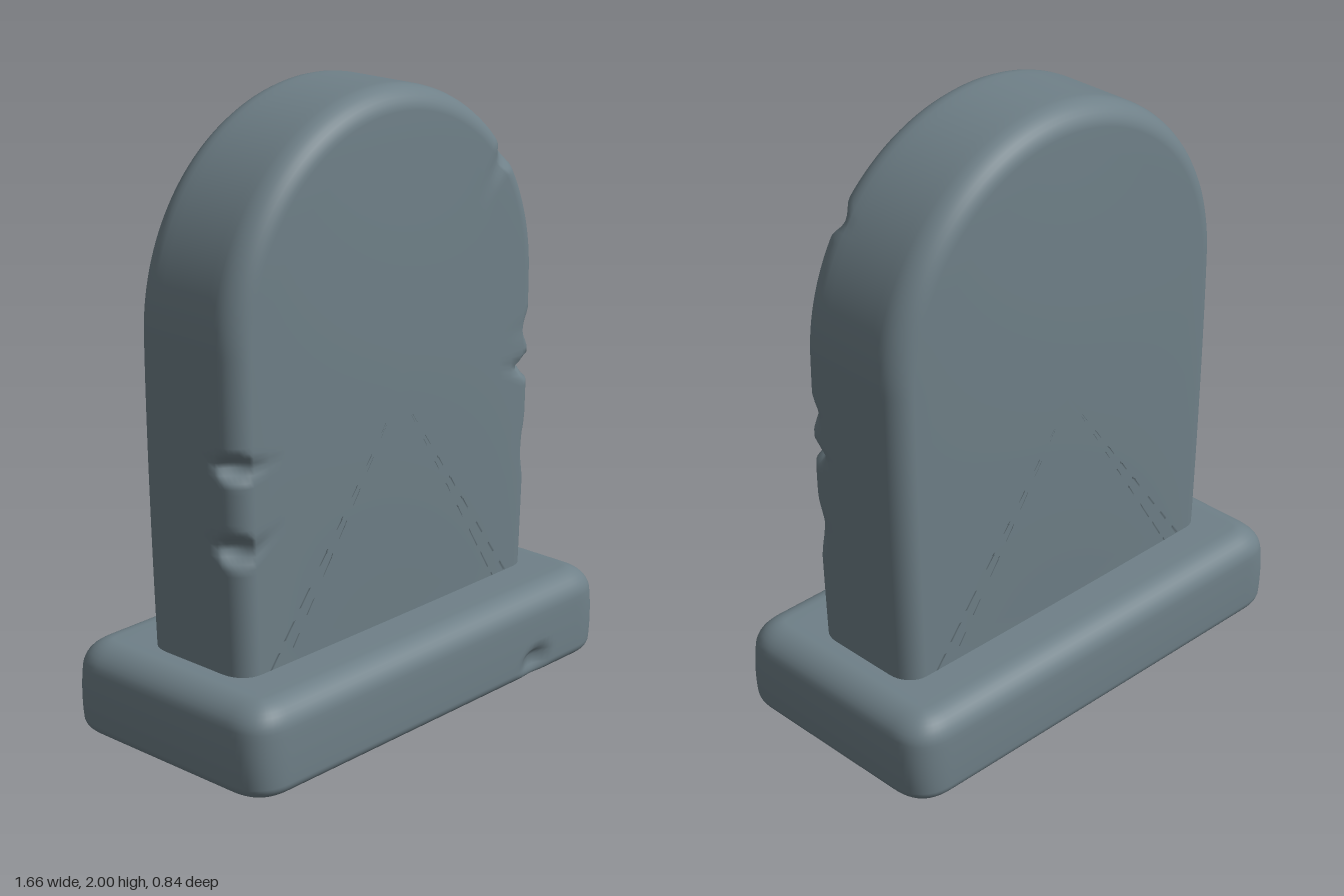
import * as THREE from 'three';

// Lofts a closed counter-clockwise outline through rings of [inset, height, scale toward centre]
function loft(path, divisions, rings, centreY) {
  const pts = path.getSpacedPoints(divisions);
  pts.pop();
  const n = pts.length;
  const normals = pts.map((p, j) => {
    const t = pts[(j + 1) % n].clone().sub(pts[(j + n - 1) % n]).normalize();
    return new THREE.Vector2(t.y, -t.x);
  });
  const pos = [], idx = [];
  rings.forEach(([inset, h, s], i) => {
    pts.forEach((p, j) => {
      const x = p.x - normals[j].x * inset, y = p.y - normals[j].y * inset;
      pos.push(x * s, centreY + (y - centreY) * s, h);
      if (i === rings.length - 1) return;
      const k = (j + 1) % n, a = i * n + j, b = i * n + k;
      idx.push(a, b, b + n, a, b + n, a + n);
    });
  });
  const geo = new THREE.BufferGeometry();
  geo.setAttribute('position', new THREE.Float32BufferAttribute(pos, 3));
  geo.setIndex(idx);
  return geo;
}

// Rings for a slab with rounded edges; each edge is { inset, rise }
function roundedRings(low, high, bottom, top) {
  const rings = [], steps = 8, face = 10;
  for (let i = 0; i < face; i++) rings.push([bottom.inset, low, i / face]);
  for (let i = 0; i <= steps; i++) {
    const a = (i / steps) * Math.PI / 2;
    rings.push([bottom.inset * (1 - Math.sin(a)), low + bottom.rise * (1 - Math.cos(a)), 1]);
  }
  const h0 = low + bottom.rise, h1 = high - top.rise;
  for (let i = 1; i < 8; i++) rings.push([0, h0 + (h1 - h0) * i / 8, 1]);
  for (let i = 0; i <= steps; i++) {
    const a = (i / steps) * Math.PI / 2;
    rings.push([top.inset * (1 - Math.cos(a)), h1 + top.rise * Math.sin(a), 1]);
  }
  for (let i = face - 1; i >= 0; i--) rings.push([top.inset, high, i / face]);
  return rings;
}

// Moves every vertex by a rule
function reshape(geo, rule) {
  const p = geo.attributes.position, v = new THREE.Vector3();
  for (let i = 0; i < p.count; i++) {
    rule(v.fromBufferAttribute(p, i));
    p.setXYZ(i, v.x, v.y, v.z);
  }
  geo.computeVertexNormals();
  return geo;
}

// Pushes in a small chip: at = centre, size = radii, push = displacement
function chip(v, { at, size, push }) {
  const d = Math.hypot(...v.toArray().map((c, i) => (c - at[i]) / size[i]));
  if (d < 1) {
    const w = (1 - d * d) ** 2;
    v.x += push[0] * w; v.y += push[1] * w; v.z += push[2] * w;
  }
}

export function createModel() {
  const group = new THREE.Group();
  const stone = new THREE.MeshStandardMaterial({ color: 0x6f8088 });
  stone.name = 'grey stone';

  // Upright arched slab, narrowing slightly to its foot
  const arch = new THREE.Path();
  arch.moveTo(-0.668, 0.1);
  arch.lineTo(0.668, 0.1);
  arch.quadraticCurveTo(0.702, 0.9, 0.70, 1.3);
  arch.absellipse(0, 1.3, 0.70, 0.70, 0, Math.PI, false);
  arch.quadraticCurveTo(-0.702, 0.9, -0.668, 0.1);
  const edge = { inset: 0.075, rise: 0.085 };
  const slabGeo = loft(arch, 320, roundedRings(-0.213, 0.208, edge, edge), 1.05);
  const slabChips = [
    { at: [-0.67, 0.96, 0.18], size: [0.09, 0.05, 0.09], push: [0.035, 0, -0.035] },
    { at: [-0.67, 0.70, 0.18], size: [0.09, 0.06, 0.09], push: [0.035, 0, -0.035] },
    { at: [0.66, 0.98, 0.18], size: [0.09, 0.05, 0.09], push: [-0.035, 0, -0.04] },
    { at: [0.67, 1.11, 0.18], size: [0.07, 0.07, 0.08], push: [-0.015, 0, -0.015] },
    { at: [0.67, 0.70, 0.18], size: [0.06, 0.12, 0.08], push: [-0.012, 0, -0.012] },
    { at: [0.52, 1.70, 0.18], size: [0.08, 0.06, 0.09], push: [-0.012, -0.01, -0.02] },
  ];
  reshape(slabGeo, (v) => {
    // Gentle swelling of the front and back faces
    const swell = Math.max(0, 1 - (v.x / 0.68) ** 2) * Math.max(0, 1 - ((v.y - 1.1) / 0.88) ** 2);
    v.z += Math.sign(v.z) * 0.021 * swell * Math.min(1, Math.abs(v.z) / 0.2);
    slabChips.forEach((c) => chip(v, c));
  });
  const slab = new THREE.Mesh(slabGeo, stone);
  slab.name = 'archedSlab';
  group.add(slab);

  // Plinth with rounded corners and a softly worn upper edge
  const w = 0.828, d = 0.42, r = 0.13;
  const plan = new THREE.Path();
  plan.moveTo(-w + r, -d);
  plan.lineTo(w - r, -d);
  plan.quadraticCurveTo(w, -d, w, -d + r);
  plan.lineTo(w, d - r);
  plan.quadraticCurveTo(w, d, w - r, d);
  plan.lineTo(-w + r, d);
  plan.quadraticCurveTo(-w, d, -w, d - r);
  plan.lineTo(-w, -d + r);
  plan.quadraticCurveTo(-w, -d, -w + r, -d);
  const baseGeo = loft(plan, 240,
    roundedRings(0, 0.292, { inset: 0.03, rise: 0.035 }, { inset: 0.085, rise: 0.08 }), 0);
  baseGeo.rotateX(-Math.PI / 2);
  const baseChip = { at: [0.47, 0.05, 0.42], size: [0.09, 0.06, 0.08], push: [0, 0.01, -0.03] };
  reshape(baseGeo, (v) => {
    // Walls lean in slightly toward the top and the ground
    const lean = 1 - 0.9 * (v.y - 0.12) ** 2;
    v.x *= lean;
    v.z *= 0.5 + 0.5 * lean;
    chip(v, baseChip);
  });
  const base = new THREE.Mesh(baseGeo, stone);
  base.name = 'plinth';
  group.add(base);

  return group;
}
